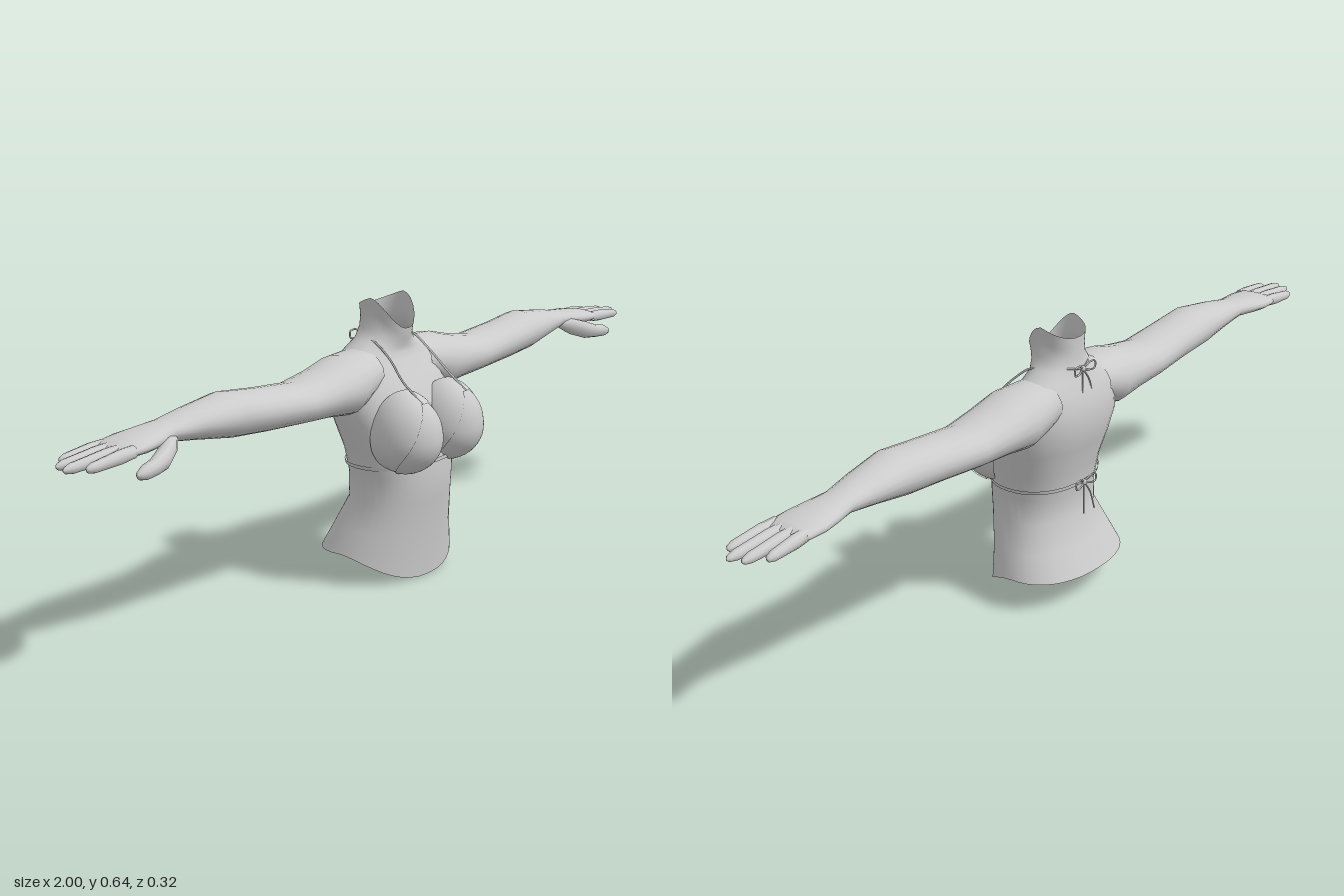
import * as THREE from 'three';
import { ParametricGeometry } from 'three/addons/geometries/ParametricGeometry.js';

const material = new THREE.MeshStandardMaterial({ color: 0xcccccc, side: THREE.DoubleSide });

function part(parent, name, geometry) {
  const mesh = new THREE.Mesh(geometry, material);
  mesh.name = name;
  parent.add(mesh);
  return mesh;
}

// Skin between closed rings; ringPoint(section, angle) returns [x, y, z]
function loft(sections, sides, ringPoint) {
  const pos = [], index = [];
  sections.forEach((s, i) => {
    for (let j = 0; j < sides; j++) {
      pos.push(...ringPoint(s, (j / sides) * Math.PI * 2));
      if (i === sections.length - 1) continue;
      const a = i * sides + j, b = i * sides + (j + 1) % sides;
      index.push(a, b, a + sides, b, b + sides, a + sides);
    }
  });
  const g = new THREE.BufferGeometry();
  g.setAttribute('position', new THREE.Float32BufferAttribute(pos, 3));
  g.setIndex(index);
  g.computeVertexNormals();
  return g;
}

function tube(points, radius, segments = 24) {
  const curve = new THREE.CatmullRomCurve3(points.map(p => new THREE.Vector3(...p)));
  return new THREE.TubeGeometry(curve, segments, radius, 5);
}

// Torso rings: height, half width, front z, back z, front drop, back drop
const torsoSections = [
  [0.075, 0.178, 0.082, -0.158, 0.07, 0.005], [0.13, 0.156, 0.086, -0.127, 0.03, 0],
  [0.19, 0.132, 0.1, -0.098, 0, 0], [0.25, 0.13, 0.106, -0.1, 0, 0],
  [0.31, 0.142, 0.1, -0.108, 0, 0], [0.37, 0.16, 0.09, -0.125, 0, 0],
  [0.42, 0.168, 0.074, -0.137, 0, 0], [0.47, 0.163, 0.042, -0.132, 0, 0],
  [0.505, 0.147, 0.02, -0.118, 0, 0], [0.53, 0.115, 0.013, -0.108, 0.01, 0],
  [0.55, 0.076, 0.013, -0.1, 0.018, 0], [0.575, 0.058, 0.018, -0.097, 0.025, 0],
  [0.605, 0.055, 0.021, -0.096, 0.045, 0.01], [0.645, 0.061, 0.023, -0.096, 0.07, 0.025]
];
function torsoPoint([y, w, front, back, dropFront, dropBack], t) {
  const c = Math.cos(t), s = Math.sin(t), mid = (front + back) / 2;
  const square = v => Math.sign(v) * Math.abs(v) ** 0.88;
  const drop = c > 0 ? dropFront * c ** 1.6 : dropBack * -c;
  return [w * square(s), y - drop, mid + (front - back) / 2 * square(c)];
}

// Limb rings run along x: x, top y, bottom y, back z, front z
function limbPoint([x, top, bottom, back, front], t) {
  return [x, (top + bottom) / 2 + (top - bottom) / 2 * Math.cos(t),
    (back + front) / 2 + (front - back) / 2 * Math.sin(t)];
}
const armSections = [
  [0.09, 0.535, 0.43, -0.12, 0.025], [0.17, 0.533, 0.398, -0.122, 0.042],
  [0.24, 0.516, 0.407, -0.115, 0.038], [0.33, 0.502, 0.412, -0.108, 0.032],
  [0.45, 0.513, 0.42, -0.1, 0.03], [0.55, 0.524, 0.428, -0.1, 0.028],
  [0.65, 0.511, 0.444, -0.09, 0.01], [0.72, 0.499, 0.454, -0.084, -0.004],
  [0.77, 0.494, 0.451, -0.094, 0.006], [0.81, 0.49, 0.45, -0.1, 0.013],
  [0.85, 0.484, 0.452, -0.098, 0.014], [0.872, 0.476, 0.457, -0.09, 0.006],
  [0.876, 0.468, 0.465, -0.06, -0.02]
];

// Digit: rounded rings [x, y, z, radius]
const digit = rings => loft(
  rings.map(([x, y, z, r]) => [x, y + r, y - r, z - r, z + r]), 10, limbPoint);

// Point of the left breast, fuller below than above
function breastPoint(theta, phi, grow, target) {
  const up = Math.cos(theta), ring = Math.sin(theta);
  target.set(
    0.08 + (0.078 + grow) * ring * Math.sin(phi),
    0.345 + ((up > 0 ? 0.108 : 0.08) + grow) * up,
    0.07 + (0.09 + grow) * ring * Math.cos(phi));
}

function bow(name, y, z) {
  const g = new THREE.Group();
  g.name = name;
  part(g, 'knot', new THREE.SphereGeometry(0.007, 10, 8));
  for (const s of [-1, 1]) {
    part(g, 'bowLoop', tube([[0, 0, 0], [s * 0.02, 0.012, -0.005], [s * 0.037, 0.009, -0.006],
      [s * 0.036, -0.006, -0.006], [s * 0.018, -0.007, -0.004], [0, 0, 0]], 0.0022));
    part(g, 'bowTail', tube([[0, 0, 0], [s * 0.012, -0.025, -0.008], [s * 0.02, -0.068, -0.015]], 0.0018, 10));
  }
  g.position.set(0, y, z);
  return g;
}

function buildSide(name, mirror) {
  const side = new THREE.Group();
  side.name = name;

  part(side, 'arm', loft(armSections, 20, limbPoint));

  // Four fingers: base z, tip z, tip x
  [[0.0, 0.004, 0.97], [-0.027, -0.026, 1.0], [-0.054, -0.056, 0.99], [-0.08, -0.085, 0.955]]
    .forEach(([z0, z1, tip]) => {
      const at = (f, r) => [0.845 + (tip - 0.845) * f, 0.468 - 0.008 * f, z0 + (z1 - z0) * f, r];
      part(side, 'finger', digit([at(0, 0.013), at(0.3, 0.0145), at(0.6, 0.0125),
        at(0.85, 0.011), at(0.96, 0.007), at(1, 0.001)]));
    });
  part(side, 'thumb', digit([[0.71, 0.468, -0.022, 0.008], [0.745, 0.457, -0.002, 0.021],
    [0.785, 0.444, 0.018, 0.022], [0.82, 0.437, 0.029, 0.017], [0.85, 0.434, 0.034, 0.015],
    [0.867, 0.432, 0.036, 0.009], [0.873, 0.432, 0.036, 0.001]]));

  part(side, 'breast', new ParametricGeometry((u, v, p) =>
    breastPoint(Math.PI * (0.99 - 0.98 * v), (u - 0.5) * Math.PI * 1.3, 0, p), 24, 20));
  // Triangular cup that narrows towards the strap
  part(side, 'cup', new ParametricGeometry((u, v, p) =>
    breastPoint(Math.PI * (0.88 - 0.66 * v), (u - 0.5) * Math.PI * (0.95 - 0.8 * v), 0.003, p), 20, 16));
  part(side, 'neckStrap', tube([[0.082, 0.425, 0.132], [0.083, 0.47, 0.072], [0.074, 0.515, 0.028],
    [0.07, 0.55, -0.02], [0.055, 0.556, -0.075], [0.025, 0.552, -0.1], [0, 0.548, -0.106]], 0.0025));

  side.scale.x = mirror;
  return side;
}

export function createModel() {
  const model = new THREE.Group();
  model.name = 'upperBody';

  part(model, 'torso', loft(torsoSections, 40, torsoPoint));
  // Thin band round the ribs, rising slightly to the front
  part(model, 'chestBand', loft([[0.27, 0.137, 0.108, -0.108, -0.008, 0], [0.279, 0.139, 0.108, -0.109, -0.008, 0]],
    40, torsoPoint));
  model.add(bow('neckBow', 0.547, -0.107), bow('backBow', 0.274, -0.113));
  model.add(buildSide('leftSide', 1), buildSide('rightSide', -1));
  return model;
}
